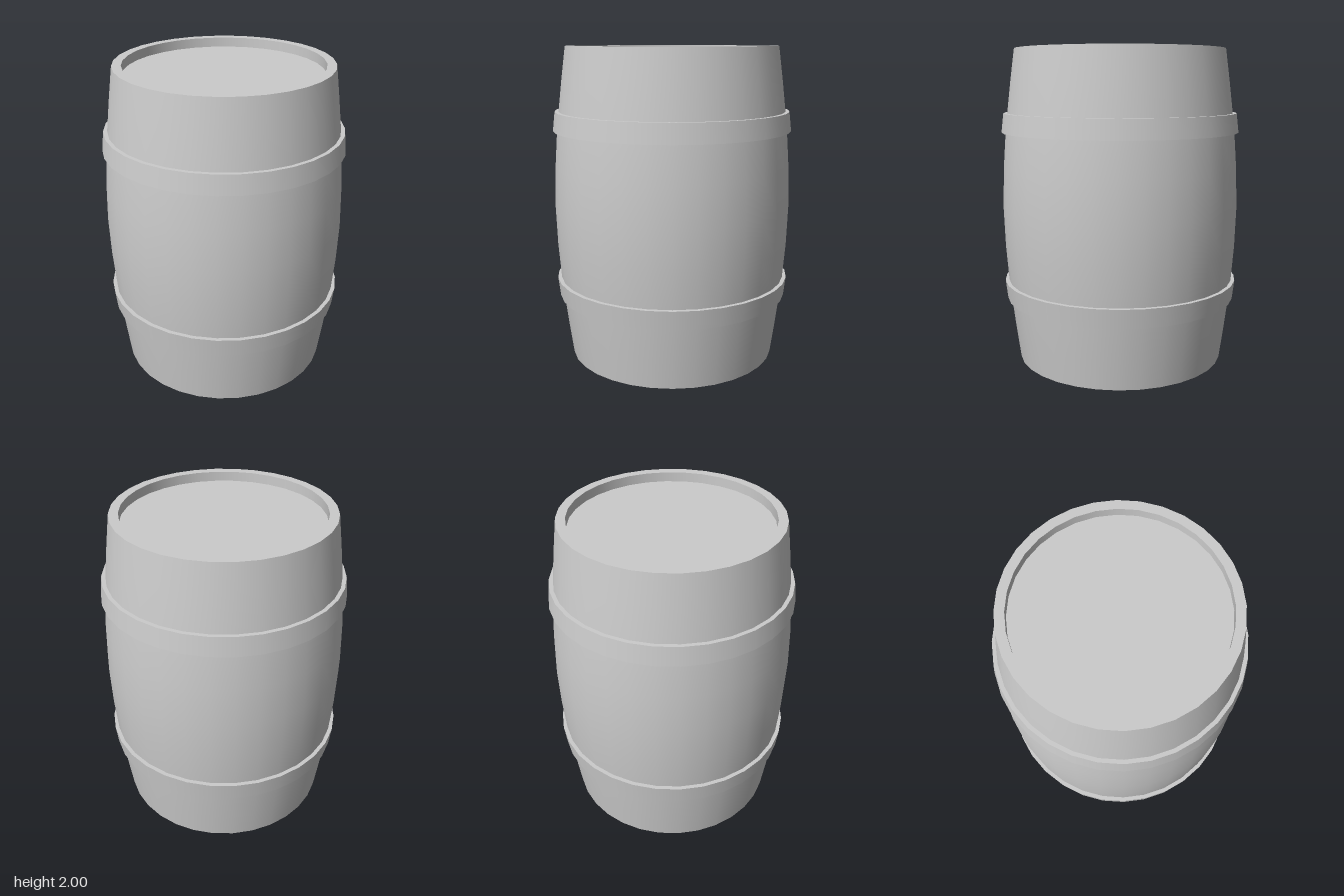
import * as THREE from 'three';
import { mergeGeometries } from 'three/addons/utils/BufferGeometryUtils.js';

const SIDES = 32;
const material = new THREE.MeshStandardMaterial({ color: 0xcccccc });

// Revolves each [radius, y] strip separately, so edges between strips stay sharp.
function turned(name, strips) {
  const parts = strips.map((strip) =>
    new THREE.LatheGeometry(strip.map(([r, y]) => new THREE.Vector2(r, y)), SIDES));
  const mesh = new THREE.Mesh(mergeGeometries(parts), material);
  mesh.name = name;
  return mesh;
}

// Splits a polyline into single-segment strips.
const segments = (points) => points.slice(1).map((p, i) => [points[i], p]);

export function createModel() {
  const group = new THREE.Group();
  group.name = 'barrel';

  // Bulging staves, mirrored about mid height
  const half = [[0.667, 0], [0.694, 0.2], [0.719, 0.405], [0.732, 0.525], [0.749, 0.75]];
  const staves = [...half, [0.757, 1], ...half.map(([r, y]) => [r, 2 - y]).reverse()];
  group.add(turned('staves', [staves]));

  // Rims and recessed heads, wound outward
  const rimInner = 0.61, rimOuter = 0.667, recess = 0.06;
  group.add(turned('bottomHead', segments([
    [0, recess], [rimInner, recess], [rimInner, 0], [rimOuter, 0]])));
  group.add(turned('topHead', segments([
    [rimOuter, 2], [rimInner, 2], [rimInner, 2 - recess], [0, 2 - recess]])));

  // Tapered hoops, wider towards the middle of the barrel
  group.add(turned('lowerHoop', segments([
    [0.715, 0.405], [0.743, 0.405], [0.757, 0.525], [0.728, 0.525]])));
  group.add(turned('upperHoop', segments([
    [0.728, 1.48], [0.757, 1.48], [0.743, 1.6], [0.715, 1.6]])));

  return group;
}
